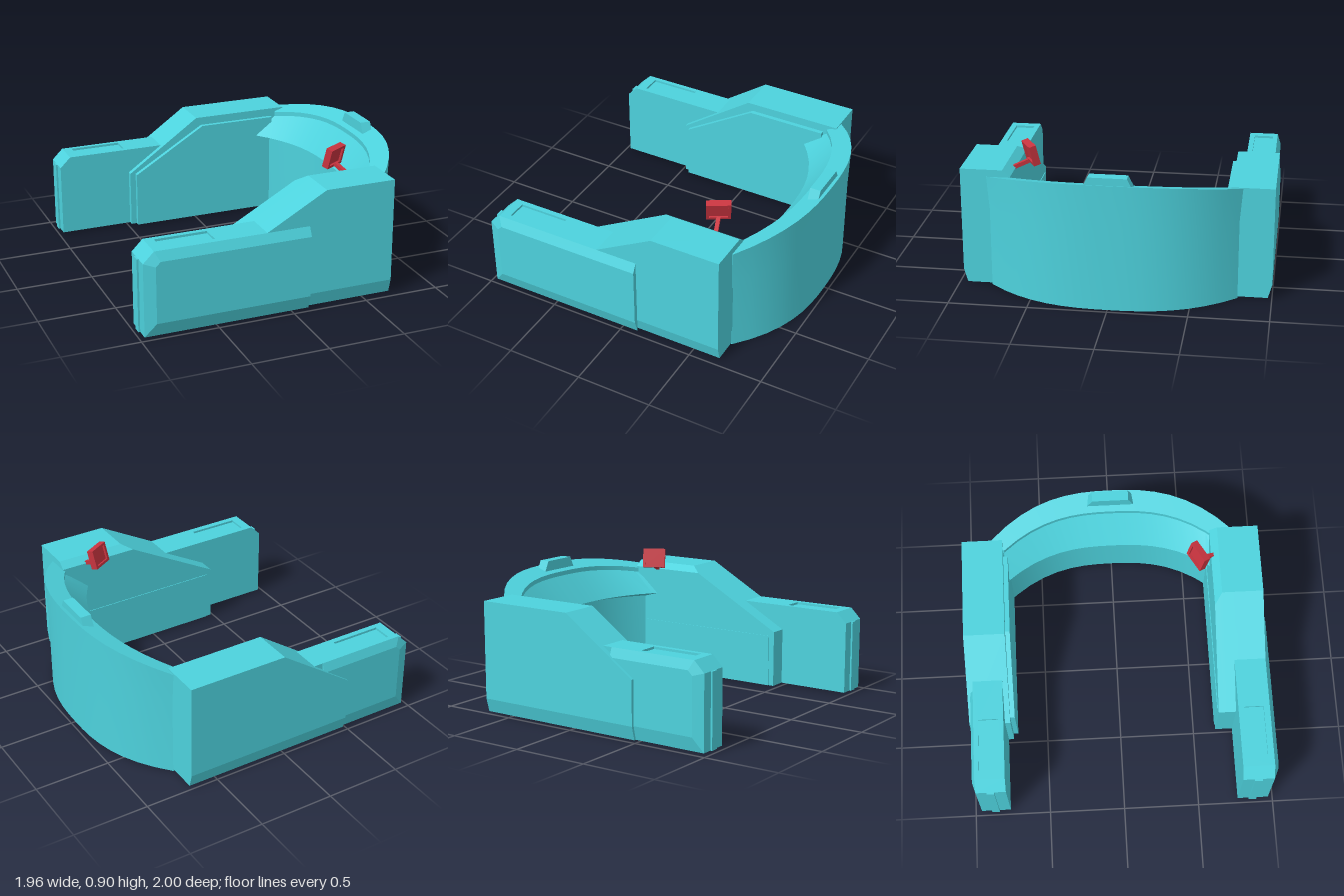
import * as THREE from 'three';
import { toCreasedNormals } from 'three/addons/utils/BufferGeometryUtils.js';

// The teal shells are open underneath
const teal = new THREE.MeshStandardMaterial({ color: 0x4dd2dd, side: THREE.DoubleSide });
const red = new THREE.MeshStandardMaterial({ color: 0xc8343f });
const FLOOR = 0.01;

// Shell skinned over rings of [x, y, z] points, capped at both ends, turned outward, open on the floor
function loft(rings) {
  const n = rings[0].length, last = rings.length - 1;
  const tris = [];
  for (let r = 0; r < last; r++) {
    for (let i = 0; i < n; i++) {
      const j = (i + 1) % n;
      const [a, b, c, d] = [rings[r][i], rings[r][j], rings[r + 1][j], rings[r + 1][i]];
      tris.push([a, b, c], [a, c, d]);
    }
  }
  for (let i = 1; i < n - 1; i++) {
    tris.push([rings[0][0], rings[0][i + 1], rings[0][i]]);
    tris.push([rings[last][0], rings[last][i], rings[last][i + 1]]);
  }
  const v = (p) => new THREE.Vector3(...p);
  const volume = tris.reduce((s, [a, b, c]) => s + v(a).dot(v(b).cross(v(c))), 0);
  if (volume < 0) tris.forEach((t) => t.reverse());
  const shell = tris.filter((t) => t.some((p) => p[1] > FLOOR));
  const geo = new THREE.BufferGeometry();
  geo.setAttribute('position', new THREE.Float32BufferAttribute(shell.flat(2), 3));
  return toCreasedNormals(geo, 0.2);
}

function add(parent, name, geo, material = teal) {
  const mesh = new THREE.Mesh(geo, material);
  mesh.name = name;
  parent.add(mesh);
  return mesh;
}

// Rectangle ring at height y
const rectY = (x0, x1, z0, z1, y) => [[x0, y, z0], [x1, y, z0], [x1, y, z1], [x0, y, z1]];

// Side profile of an arm: flat top, slope, short upright end
function armRing(z, top, xTop, bottom = FLOOR, zBottom = z) {
  return [[0.686, bottom, zBottom], [0.686, top, z], [xTop, top, z], [-0.478, 0.39, z], [-0.478, bottom, zBottom]];
}

// Flat panel with the given [x, y] outline between two depths
const slab = (outline, z0, z1) => loft([z0, z1].map((z) => outline.map(([x, y]) => [x, y, z])));

// Low end box with a recess in its top, a bevelled outer plate and an end rib
function addEndBox(parent, side, outer, plateOuter, plateEnd) {
  const box = new THREE.Group();
  box.name = 'armEnd';
  const a = side * 0.765, b = side * outer;
  add(box, 'endBody', loft([
    rectY(-0.97, -0.15, a, b, FLOOR),
    rectY(-0.97, -0.15, a, b, 0.49),
    rectY(-0.9, -0.15, a, b, 0.56),
    rectY(-0.84, -0.5, side * 0.8, side * 0.93, 0.56),
    rectY(-0.84, -0.5, side * 0.8, side * 0.93, 0.545),
  ]));
  // The plate's end corner is cut to follow the body
  const base = [[-0.97, FLOOR], [plateEnd, FLOOR], [plateEnd, 0.56], [-0.9, 0.56], [-0.97, 0.49]];
  const face = [[-0.9, 0.1], [plateEnd, 0.1], [plateEnd, 0.5], [-0.87, 0.5], [-0.9, 0.47]];
  add(box, 'outerPlate', loft([
    base.map(([x, y]) => [x, y, b]),
    face.map(([x, y]) => [x, y, side * plateOuter]),
  ]));
  add(box, 'endRib', loft([FLOOR, 0.49].map((y) => rectY(-0.982, -0.95, side * 0.84, side * 0.89, y))));
  parent.add(box);
}

// Point on a squarish bow in plan: x at the middle, depth, half width, t in -1..1
const bow = (apex, sag, half, t) => [apex - sag * Math.abs(t) ** 2.6, half * t];

// Wall with a rim sloping towards the arms, a stepped ledge and a lip over a set-back lower face
function curvedWall() {
  const rimHeight = ([x]) => 0.82 - 0.298 * (0.976 - x);
  const rings = [];
  const steps = 16;
  for (let i = 0; i <= steps; i++) {
    const t = (i / steps) * 2 - 1;
    const outer = bow(0.97, 0.28, 0.785, t);
    const rim = bow(0.976, 0.286, 0.802, t);
    const ledge = bow(0.84, 0.22, 0.72, t);
    const lip = bow(0.69, 0.23, 0.71, t);
    const lower = bow(0.8, 0.3, 0.78, t);
    const section = [[outer, 0], [outer, 0.52], [rim, rimHeight(rim)], [ledge, rimHeight(ledge)],
      [ledge, rimHeight(ledge) - 0.03], [lip, 0.56], [lower, 0.53], [lower, 0]];
    rings.push(section.map(([[x, z], y]) => [x, y, z]));
  }
  return loft(rings);
}

// Small tilted screen, framed on both faces, on a stalk
function screen() {
  const group = new THREE.Group();
  group.name = 'screen';
  const head = new THREE.Group();
  head.name = 'screenHead';
  const w = 0.077, h = 0.066, k = 0.75;
  const corners = [[-w, -h], [w, -h], [w, h], [-w, h]].map((p) => new THREE.Vector2(...p));
  const shape = new THREE.Shape(corners);
  shape.holes.push(new THREE.Path(corners.map((p) => p.clone().multiplyScalar(k)).reverse()));
  const frame = new THREE.ExtrudeGeometry(shape, { depth: 0.045, bevelEnabled: false });
  add(head, 'screenFrame', frame.translate(0, 0, -0.0225), red);
  add(head, 'screenPanel', new THREE.BoxGeometry(w * 1.6, h * 1.6, 0.018), red);
  head.rotation.set(0.25, Math.PI / 6, 0, 'YXZ');
  head.position.set(0.466, 0.83, 0.558);
  group.add(head);
  const from = new THREE.Vector3(0.473, 0.778, 0.57), to = new THREE.Vector3(0.505, 0.74, 0.665);
  const stalk = add(group, 'screenStalk', new THREE.BoxGeometry(0.025, 0.025, from.distanceTo(to)), red);
  stalk.position.copy(from).lerp(to, 0.5);
  stalk.lookAt(to);
  return group;
}

export function createModel() {
  const model = new THREE.Group();
  model.name = 'curvedConsole';

  // Front arm, with a bevelled inner top edge and bevelled outer foot
  const front = new THREE.Group();
  front.name = 'frontArm';
  add(front, 'armBlock', loft([
    armRing(0.65, 0.74, 0.15),
    armRing(0.7, 0.78, 0.22),
    armRing(0.97, 0.78, 0.22, FLOOR, 0.945),
    armRing(0.97, 0.78, 0.22, 0.1),
  ]));
  add(front, 'innerPanel', slab([[0.6, FLOOR], [0.6, 0.36], [-0.44, 0.36], [-0.44, FLOOR]], 0.645, 0.65));
  addEndBox(front, 1, 0.97, 1, 0.11);
  model.add(front);

  // Back arm, with a raised inner panel following its profile
  const back = new THREE.Group();
  back.name = 'backArm';
  add(back, 'armBlock', loft([
    armRing(-0.73, 0.74, 0.02),
    armRing(-1, 0.74, 0.02, FLOOR, -0.975),
    armRing(-1, 0.74, 0.02, 0.1),
  ]));
  add(back, 'innerPanel', slab(
    [[0.59, FLOOR], [0.59, 0.685], [0.055, 0.685], [-0.44, 0.385], [-0.44, FLOOR]], -0.73, -0.7));
  addEndBox(back, -1, 0.96, 0.982, -0.3);
  model.add(back);

  // Bowed wall joining the arms, with a raised block on its rim
  add(model, 'curvedWall', curvedWall());
  add(model, 'rimBlock', loft([
    rectY(0.88, 0.95, -0.155, 0.155, 0.79),
    rectY(0.88, 0.95, -0.12, 0.12, 0.86),
  ]));

  model.add(screen());
  return model;
}
